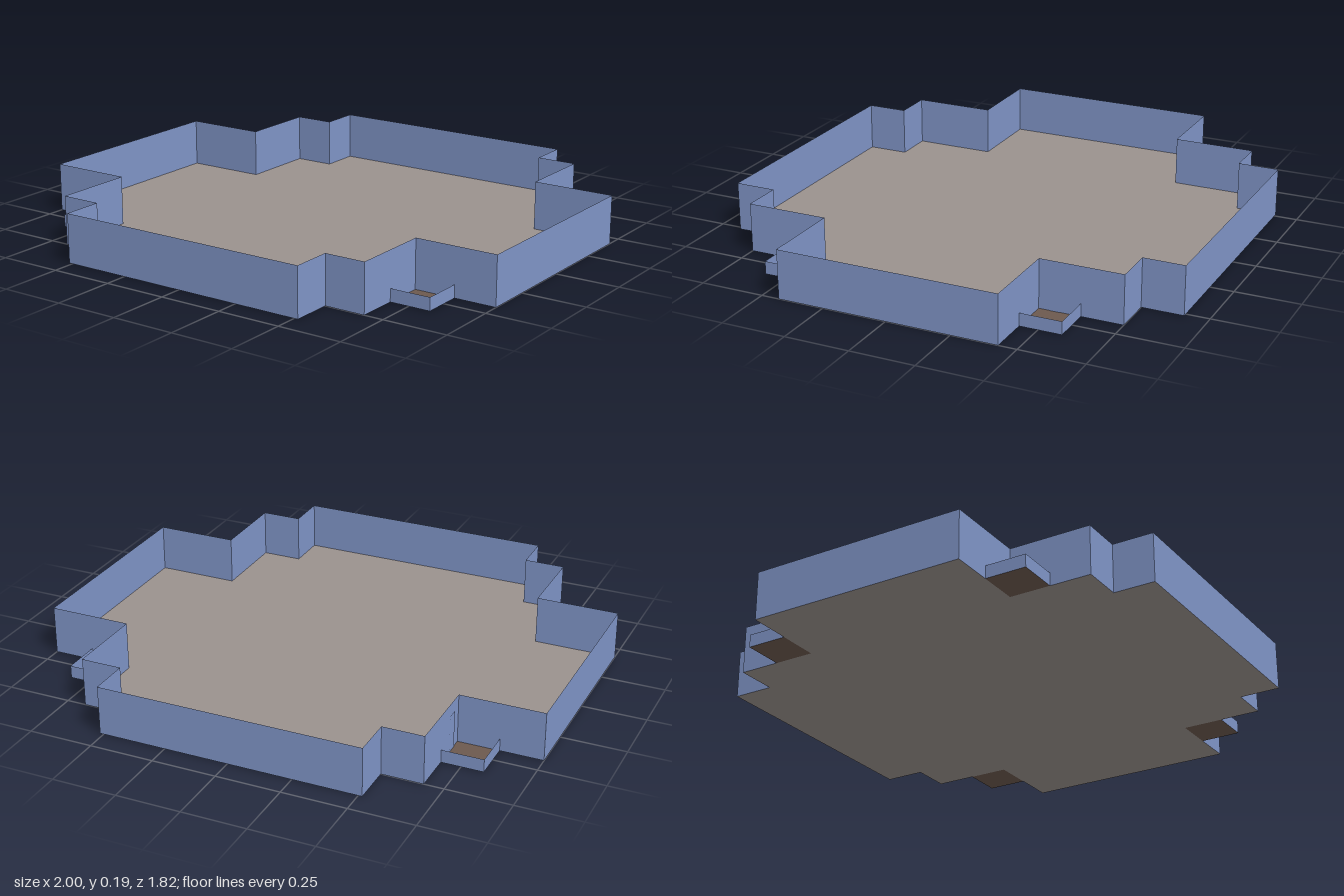
import * as THREE from 'three';

const H = 0.19, BAND = 0.15, RAIL = 0.05, MODULE = 0.16;
const X = [0.515, 0.675, 1], Z = [0.43, 0.75, 0.91];

const material = (color) => new THREE.MeshStandardMaterial({ color, side: THREE.DoubleSide, flatShading: true });

export function createModel() {
  const model = new THREE.Group();
  const wallMat = material(0x7f94c6);
  const floorMat = material(0x9a918d);
  const balconyMat = material(0x6c594e);

  // Thin upright sheet from a to b (x, z) between heights y0 and y1
  function sheet(name, a, b, y0, y1, parent) {
    const mesh = new THREE.Mesh(new THREE.PlaneGeometry(a.distanceTo(b), y1 - y0), wallMat);
    mesh.name = name;
    mesh.position.set((a.x + b.x) / 2, (y0 + y1) / 2, (a.y + b.y) / 2);
    mesh.rotation.y = -Math.atan2(b.y - a.y, b.x - a.x);
    parent.add(mesh);
  }

  // Stepped outline: one quarter, mirrored into the other three
  const quarter = [[X[2], Z[0]], [X[1], Z[0]], [X[1], Z[1]], [X[0], Z[1]], [X[0], Z[2]]];
  const outline = [];
  for (const [sx, sz] of [[1, 1], [-1, 1], [-1, -1], [1, -1]]) {
    const corner = quarter.map(([x, z]) => new THREE.Vector2(sx * x, sz * z));
    outline.push(...(sx * sz > 0 ? corner : corner.reverse()));
  }

  // Floor
  const shape = new THREE.Shape(outline.map((p) => new THREE.Vector2(p.x, -p.y)));
  const floor = new THREE.Mesh(new THREE.ShapeGeometry(shape).rotateX(-Math.PI / 2), floorMat);
  floor.name = 'floor';
  model.add(floor);

  // Perimeter walls: equal modules, each a panel with a band on top
  const walls = new THREE.Group();
  walls.name = 'walls';
  model.add(walls);
  outline.forEach((a, i) => {
    const b = outline[(i + 1) % outline.length];
    const count = Math.max(1, Math.round(a.distanceTo(b) / MODULE));
    for (let k = 0; k < count; k++) {
      const p = a.clone().lerp(b, k / count);
      const q = a.clone().lerp(b, (k + 1) / count);
      sheet('wallPanel', p, q, 0, BAND, walls);
      sheet('wallBand', p, q, BAND, H, walls);
    }
  });

  // Four corner balconies with low rails and a narrow door
  for (const sx of [1, -1]) for (const sz of [1, -1]) {
    const balcony = new THREE.Group();
    balcony.name = 'balcony';
    const x0 = sx * X[1], x1 = sx * (X[1] + MODULE);
    const z0 = sz * Z[0], z1 = sz * (Z[0] + MODULE);
    const base = new THREE.Mesh(new THREE.PlaneGeometry(MODULE, MODULE).rotateX(-Math.PI / 2), balconyMat);
    base.name = 'balconyFloor';
    base.position.set((x0 + x1) / 2, 0, (z0 + z1) / 2);
    balcony.add(base);
    const outer = new THREE.Vector2(x1, z1);
    sheet('sideRail', new THREE.Vector2(x1, z0), outer, 0, RAIL, balcony);
    sheet('endRail', new THREE.Vector2(x0, z1), outer, 0, RAIL, balcony);
    const doorX = x0 + sx * 0.002;
    sheet('door', new THREE.Vector2(doorX, sz * 0.47), new THREE.Vector2(doorX, sz * 0.515), 0, 0.145, balcony);
    model.add(balcony);
  }
  return model;
}
